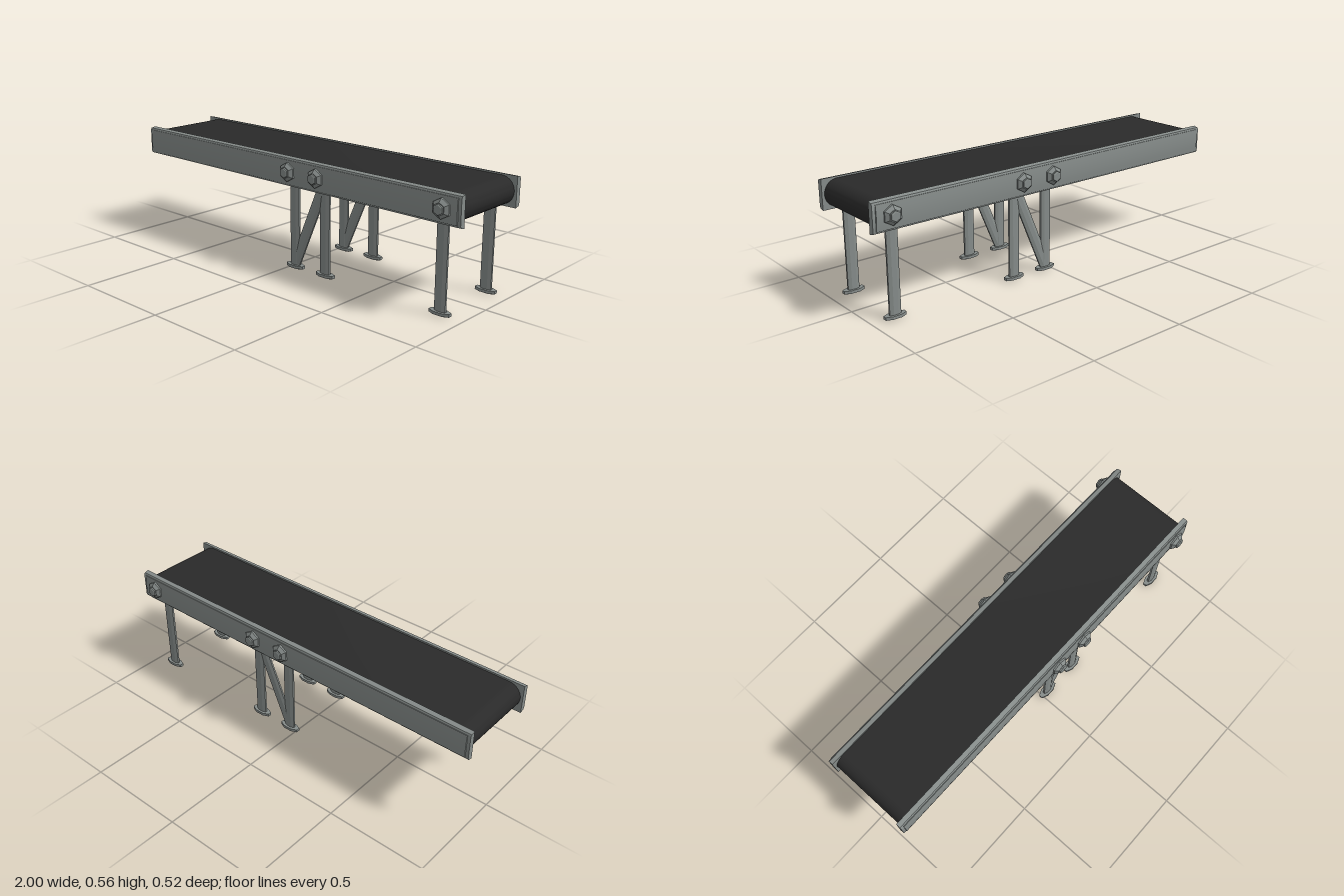
import * as THREE from 'three';
import { toCreasedNormals } from 'three/addons/utils/BufferGeometryUtils.js';

const metal = new THREE.MeshStandardMaterial({ color: 0x868c8a });
metal.name = 'grey metal';
const rubber = new THREE.MeshStandardMaterial({ color: 0x2a2a2a });
rubber.name = 'black rubber';

function add(parent, name, geometry, material, x = 0, y = 0, z = 0) {
  const mesh = new THREE.Mesh(geometry, material);
  mesh.name = name;
  mesh.position.set(x, y, z);
  parent.add(mesh);
  return mesh;
}

// Extrudes a (z, y) profile along x, centred on x = 0
function alongX(points, length) {
  const shape = new THREE.Shape(points.map(([z, y]) => new THREE.Vector2(-z, y)));
  const geo = new THREE.ExtrudeGeometry(shape, { depth: length, bevelEnabled: false });
  geo.translate(0, 0, -length / 2);
  geo.rotateY(Math.PI / 2);
  return toCreasedNormals(geo, 0.6);
}

// Flattened eight-sided bar, flat sides facing x and z
function bar(width, height, depth) {
  const geo = new THREE.CylinderGeometry(1, 1, height, 8, 1, false, Math.PI / 8).toNonIndexed();
  const k = 2 * Math.cos(Math.PI / 8);
  geo.scale(width / k, 1, depth / k);
  return toCreasedNormals(geo, 0.3);
}

// Hexagonal bolt head with a raised tip, pointing to +z
function boltGeometry() {
  const profile = [[0.046, 0], [0.046, 0.013], [0.029, 0.027], [0.025, 0.027], [0.025, 0.034], [0.02, 0.037], [0, 0.037]];
  const geo = new THREE.LatheGeometry(profile.map(([r, h]) => new THREE.Vector2(r, h)), 6);
  geo.rotateX(Math.PI / 2);
  return toCreasedNormals(geo, 0.2);
}

export function createModel() {
  const model = new THREE.Group();
  model.name = 'conveyor';

  // Belt loop with rounded ends
  const r = 0.065, end = 0.988 - r;
  const loop = new THREE.Shape();
  loop.absarc(end, 0, r, -Math.PI / 2, Math.PI / 2, false);
  loop.absarc(-end, 0, r, Math.PI / 2, Math.PI * 1.5, false);
  loop.closePath();
  const beltGeo = new THREE.ExtrudeGeometry(loop, { depth: 0.396, bevelEnabled: false, curveSegments: 10 });
  beltGeo.translate(0, 0, -0.198);
  add(model, 'belt', toCreasedNormals(beltGeo, 0.6), rubber, 0, 0.485, 0);

  // Side rails: tapered channel with a slightly bulged outer panel
  const railGeo = alongX([[0.197, 0.413], [0.219, 0.419], [0.224, 0.428], [0.224, 0.545], [0.219, 0.553], [0.197, 0.558]], 2);
  const panelGeo = alongX([[0.22, 0.428], [0.227, 0.428], [0.23, 0.455], [0.231, 0.486], [0.23, 0.518], [0.227, 0.545], [0.22, 0.545]], 1.97);
  const boltGeo = boltGeometry();
  for (const side of [1, -1]) {
    const rail = new THREE.Group();
    rail.name = side > 0 ? 'frontRail' : 'backRail';
    if (side < 0) rail.rotation.y = Math.PI;
    add(rail, 'railBody', railGeo, metal);
    add(rail, 'railPanel', panelGeo, metal);
    for (const x of [0.038, 0.215, 0.91]) add(rail, 'bolt', boltGeo, metal, x * side, 0.489, 0.225);
    model.add(rail);
  }

  // Legs with feet, and a diagonal brace between the middle pair
  const legGeo = bar(0.057, 0.42, 0.023);
  const footGeo = bar(0.104, 0.014, 0.045);
  const footBaseGeo = bar(0.07, 0.008, 0.02);
  const dx = 0.178, dy = 0.41;
  const braceGeo = bar(0.056, Math.hypot(dx, dy), 0.02);
  for (const z of [0.179, -0.175]) {
    const legs = new THREE.Group();
    legs.name = z > 0 ? 'frontLegs' : 'backLegs';
    for (const x of [0.038, 0.23, 0.887]) {
      add(legs, 'leg', legGeo, metal, x, 0.225, z);
      add(legs, 'foot', footGeo, metal, x, 0.013, z);
      add(legs, 'footBase', footBaseGeo, metal, x, 0.004, z);
    }
    const brace = add(legs, 'brace', braceGeo, metal, 0.036 + dx / 2, 0.02 + dy / 2, z);
    brace.rotation.z = -Math.atan2(dx, dy);
    model.add(legs);
  }
  return model;
}
